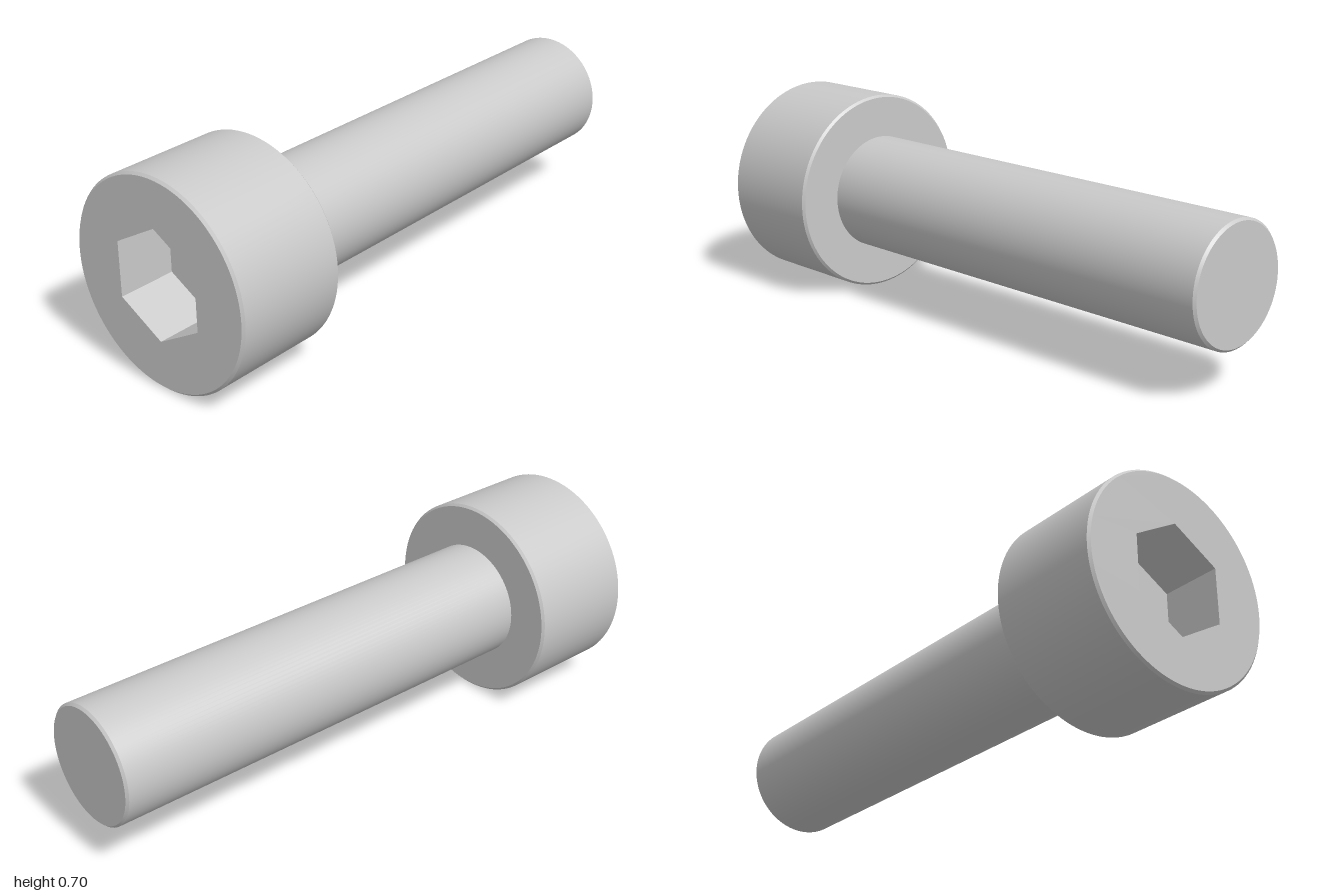
import * as THREE from 'three';
import { toCreasedNormals } from 'three/addons/utils/BufferGeometryUtils.js';

const SEG = 96;
const HEAD_R = 0.349, SHANK_R = 0.2, BEVEL = 0.008;
const HEAD_BACK = 0.6, FRONT = 1, BACK = -1;
const HEX_R = 0.186, HEX_DEPTH = 0.2;

export function createModel() {
  const model = new THREE.Group();
  model.name = 'socketHeadBolt';
  const steel = new THREE.MeshStandardMaterial({ color: 0xc9c9c9 });
  steel.name = 'light grey steel';

  const add = (name, geometry) => {
    const mesh = new THREE.Mesh(geometry, steel);
    mesh.name = name;
    mesh.position.y = HEAD_R;
    model.add(mesh);
  };

  // Turned part along z from [radius, z] pairs, with crisp edges
  const turned = (points, sides = SEG) => {
    const profile = points.map(([r, z]) => new THREE.Vector2(r, z));
    const geometry = new THREE.LatheGeometry(profile, sides).rotateX(Math.PI / 2);
    return toCreasedNormals(geometry, Math.PI / 7);
  };

  // Shank with a bevelled tip
  add('shank', turned([
    [0, BACK], [SHANK_R - BEVEL, BACK], [SHANK_R, BACK + BEVEL], [SHANK_R, HEAD_BACK],
  ]));

  // Head: underside, bevels and side wall
  add('head', turned([
    [SHANK_R, HEAD_BACK], [HEAD_R - BEVEL, HEAD_BACK], [HEAD_R, HEAD_BACK + BEVEL],
    [HEAD_R, FRONT - BEVEL], [HEAD_R - BEVEL, FRONT],
  ]));

  // Front face of the head, pierced by the hexagon
  const face = new THREE.Shape().absarc(0, 0, HEAD_R - BEVEL, 0, Math.PI * 2);
  const corners = Array.from({ length: 6 }, (_, i) => {
    const a = Math.PI / 2 - i * Math.PI / 3;
    return new THREE.Vector2(HEX_R * Math.cos(a), HEX_R * Math.sin(a));
  });
  face.holes.push(new THREE.Path(corners));
  add('headFace', new THREE.ShapeGeometry(face, SEG).translate(0, 0, FRONT));

  // Hexagonal socket: inward walls and floor
  add('hexSocket', turned([
    [HEX_R, FRONT], [HEX_R, FRONT - HEX_DEPTH], [0, FRONT - HEX_DEPTH],
  ], 6));

  return model;
}
